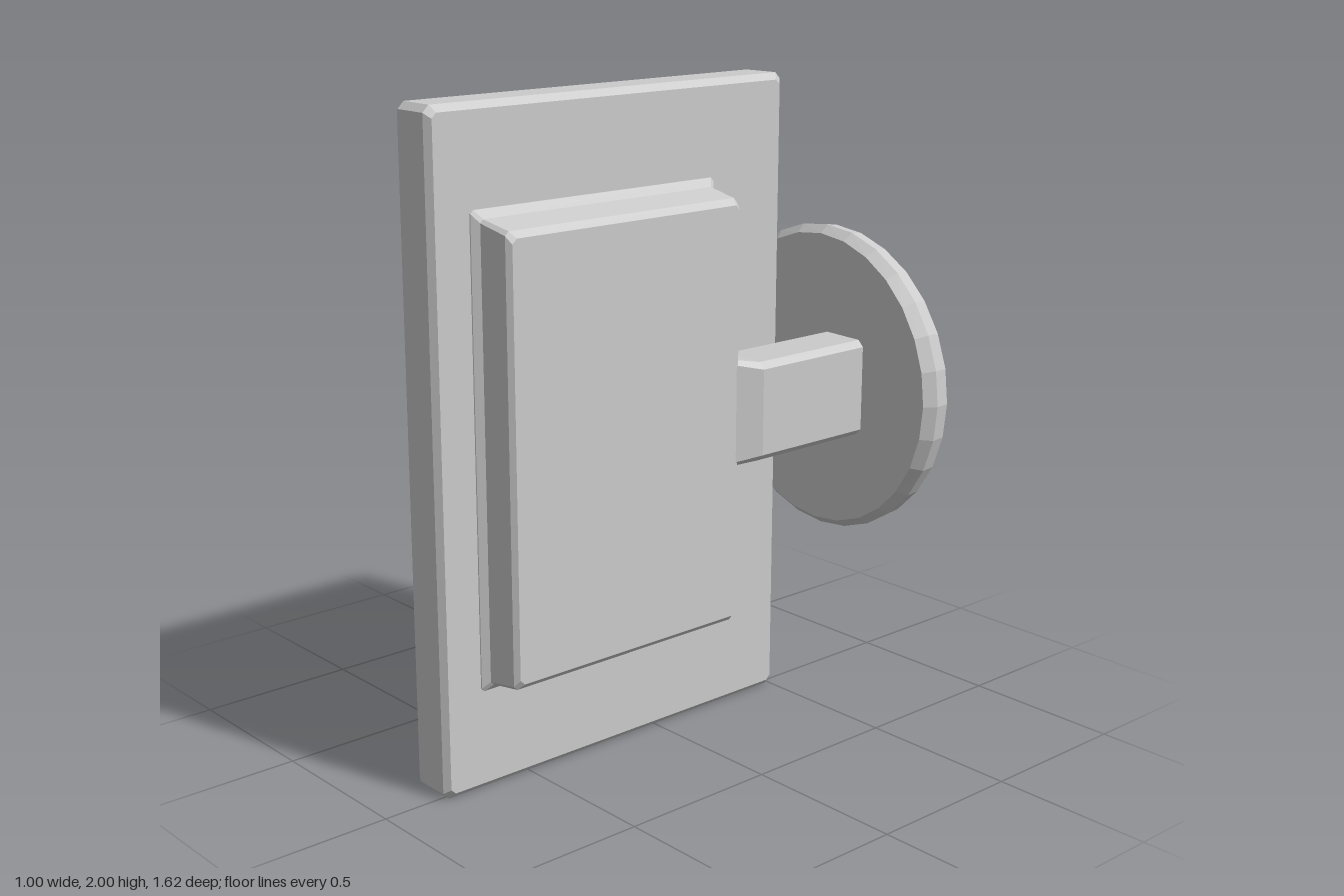
import * as THREE from 'three';

const material = new THREE.MeshStandardMaterial({ color: 0xcccccc, flatShading: true });

// Solid lofted through chamfered rectangles [position, u0, u1, v0, v1, chamfer].
// Along 'x': u = y, v = z. Along 'z': u = x, v = y.
function loft(name, axis, sections) {
  const place = (p, u, v) => (axis === 'x' ? [p, u, v] : [u, v, p]);
  const rings = sections.map(([p, u0, u1, v0, v1, c]) => [
    [u0 + c, v0], [u1 - c, v0], [u1, v0 + c], [u1, v1 - c],
    [u1 - c, v1], [u0 + c, v1], [u0, v1 - c], [u0, v0 + c],
  ].map(([u, v]) => place(p, u, v)));
  const positions = [];
  const tri = (a, b, c) => positions.push(...a, ...b, ...c);
  for (let i = 0; i < rings.length - 1; i++) {
    for (let j = 0; j < 8; j++) {
      const k = (j + 1) % 8, low = rings[i], high = rings[i + 1];
      tri(low[j], low[k], high[k]);
      tri(low[j], high[k], high[j]);
    }
  }
  const first = rings[0], last = rings[rings.length - 1];
  for (let j = 1; j < 7; j++) {
    tri(first[0], first[j + 1], first[j]);
    tri(last[0], last[j], last[j + 1]);
  }
  const geometry = new THREE.BufferGeometry();
  geometry.setAttribute('position', new THREE.Float32BufferAttribute(positions, 3));
  geometry.computeVertexNormals();
  const mesh = new THREE.Mesh(geometry, material);
  mesh.name = name;
  return mesh;
}

// Round plate with a flat back and a slightly slanted front
function makeDisc() {
  const profile = [[0, -0.81], [0.465, -0.81], [0.495, -0.785], [0.5, -0.735], [0.475, -0.695], [0, -0.695]];
  const geometry = new THREE.LatheGeometry(profile.map(([r, z]) => new THREE.Vector2(r, z)), 28);
  geometry.rotateX(Math.PI / 2);
  const p = geometry.attributes.position;
  for (let i = 0; i < p.count; i++) {
    const depth = (p.getZ(i) + 0.81) / 0.115;
    p.setZ(i, p.getZ(i) - 0.055 * depth * (0.5 - p.getX(i)));
  }
  geometry.translate(0, 1, 0);
  geometry.computeVertexNormals();
  const mesh = new THREE.Mesh(geometry, material);
  mesh.name = 'roundPlate';
  return mesh;
}

export function createModel() {
  const group = new THREE.Group();
  group.name = 'panelWithRoundMount';

  // Tall upright slab with bevelled edges
  group.add(loft('mainPanel', 'x', [
    [-0.125, 0.02, 1.98, -0.475, 0.795, 0.015],
    [-0.1, 0, 2, -0.5, 0.81, 0.02],
    [0.015, 0, 2, -0.51, 0.81, 0.02],
    [0.035, 0.02, 1.98, -0.49, 0.795, 0.015],
  ]));

  // Raised block on the side, flared where it meets the slab
  group.add(loft('raisedBlock', 'x', [
    [0.025, 0.31, 1.71, -0.215, 0.685, 0.01],
    [0.038, 0.31, 1.71, -0.215, 0.68, 0.01],
    [0.055, 0.33, 1.685, -0.2, 0.66, 0.01],
    [0.155, 0.343, 1.665, -0.2, 0.653, 0.012],
    [0.17, 0.36, 1.645, -0.2, 0.64, 0.015],
  ]));

  // Arm reaching back to the round plate
  group.add(loft('arm', 'z', [
    [-0.75, 0.02, 0.205, 0.85, 1.16, 0.02],
    [-0.275, 0.02, 0.205, 0.85, 1.16, 0.02],
    [-0.19, 0.02, 0.168, 0.84, 1.175, 0.015],
  ]));

  group.add(makeDisc());
  return group;
}
